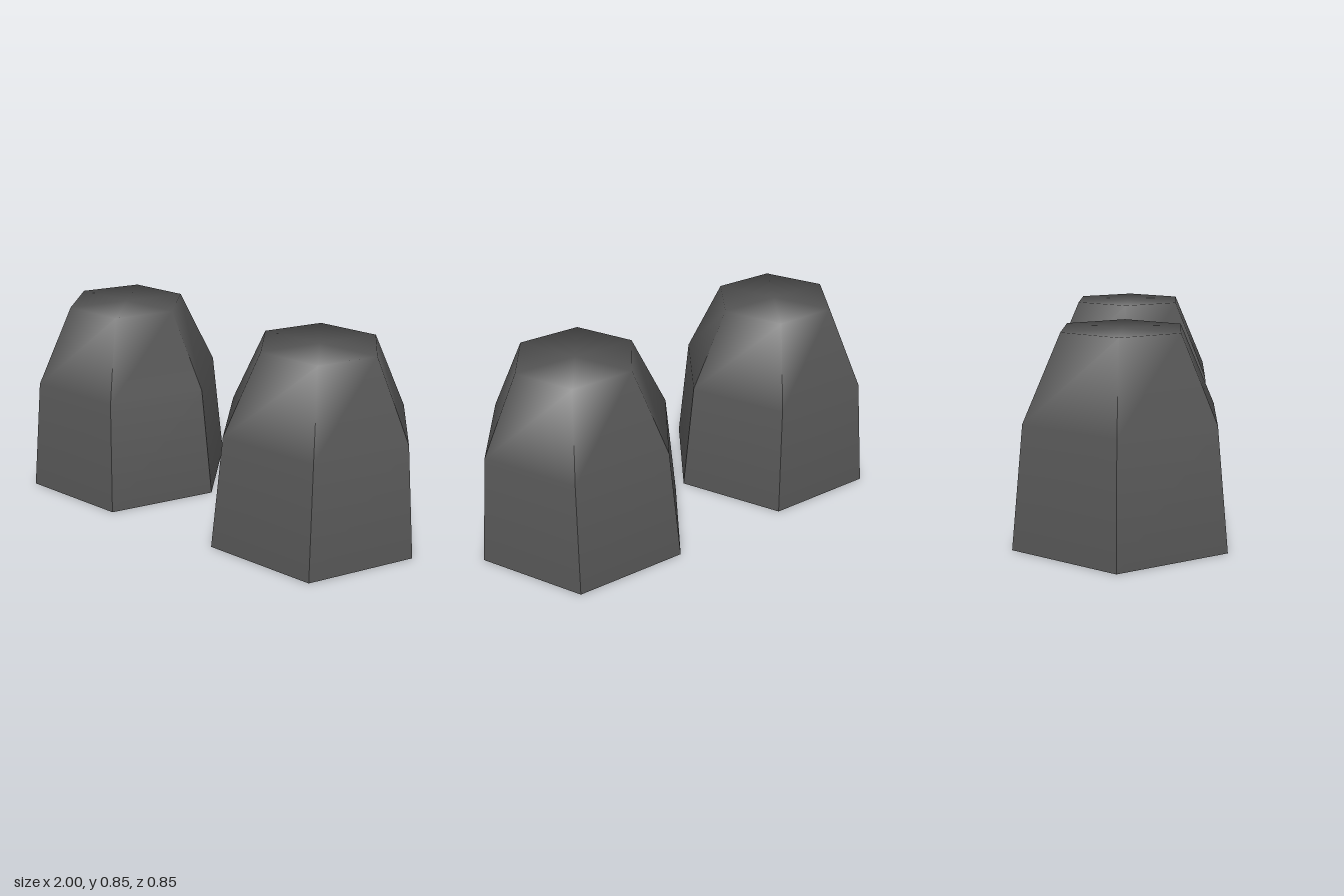
import * as THREE from 'three';

const SIDES = 6;
const TWIST = THREE.MathUtils.degToRad(1);
// rings from the open base to the flat top: [radius, height]
const RINGS = [[0.486, 0], [0.433, 0.5], [0.268, 0.845]];

const ringPoint = ([r, y], i) => {
  const a = TWIST + (i * Math.PI * 2) / SIDES;
  return new THREE.Vector3(r * Math.cos(a), y, r * Math.sin(a));
};

// hollow tapered cap: creased corners below, softening into the top
function capGeometry() {
  const pos = [], nor = [];
  const add = (p, n) => { pos.push(...p.toArray()); nor.push(...n.toArray()); };
  const up = new THREE.Vector3(0, 1, 0);
  const topNormal = (i) => {
    const p = ringPoint([1, 0], i);
    return p.setY(1).normalize();
  };
  // outward normal of a wall panel whose slope is given by rise and inset
  const wallNormal = (i, rise, inset) => {
    const a = TWIST + ((i + 0.5) * Math.PI * 2) / SIDES;
    return new THREE.Vector3(Math.cos(a) * rise, inset * Math.cos(Math.PI / SIDES), Math.sin(a) * rise).normalize();
  };
  const top = RINGS[2];
  for (let i = 0; i < SIDES; i++) {
    const lower = wallNormal(i, 0.5, 0.053);
    const upper = wallNormal(i, 0.345, 0.165);
    const mid = lower.clone().add(upper).normalize();
    const levels = [[lower, lower], [mid, mid], [topNormal(i), topNormal(i + 1)]];
    for (let k = 0; k < 2; k++) {
      const a = ringPoint(RINGS[k], i), b = ringPoint(RINGS[k], i + 1);
      const c = ringPoint(RINGS[k + 1], i), d = ringPoint(RINGS[k + 1], i + 1);
      const [na, nb] = levels[k], [nc, nd] = levels[k + 1];
      add(a, na); add(c, nc); add(b, nb);
      add(b, nb); add(c, nc); add(d, nd);
    }
    // flat top
    add(new THREE.Vector3(0, top[1], 0), up);
    add(ringPoint(top, i + 1), topNormal(i + 1));
    add(ringPoint(top, i), topNormal(i));
  }
  const g = new THREE.BufferGeometry();
  g.setAttribute('position', new THREE.Float32BufferAttribute(pos, 3));
  g.setAttribute('normal', new THREE.Float32BufferAttribute(nor, 3));
  return g;
}

export function createModel() {
  const group = new THREE.Group();
  const darkGrey = new THREE.MeshStandardMaterial({ color: 0x555555, side: THREE.DoubleSide });
  darkGrey.name = 'darkGrey';
  const geometry = capGeometry();
  // matching pair, side by side
  for (const [name, x] of [['leftCap', 0.514], ['rightCap', -0.514]]) {
    const cap = new THREE.Mesh(geometry, darkGrey);
    cap.name = name;
    cap.position.x = x;
    group.add(cap);
  }
  return group;
}
